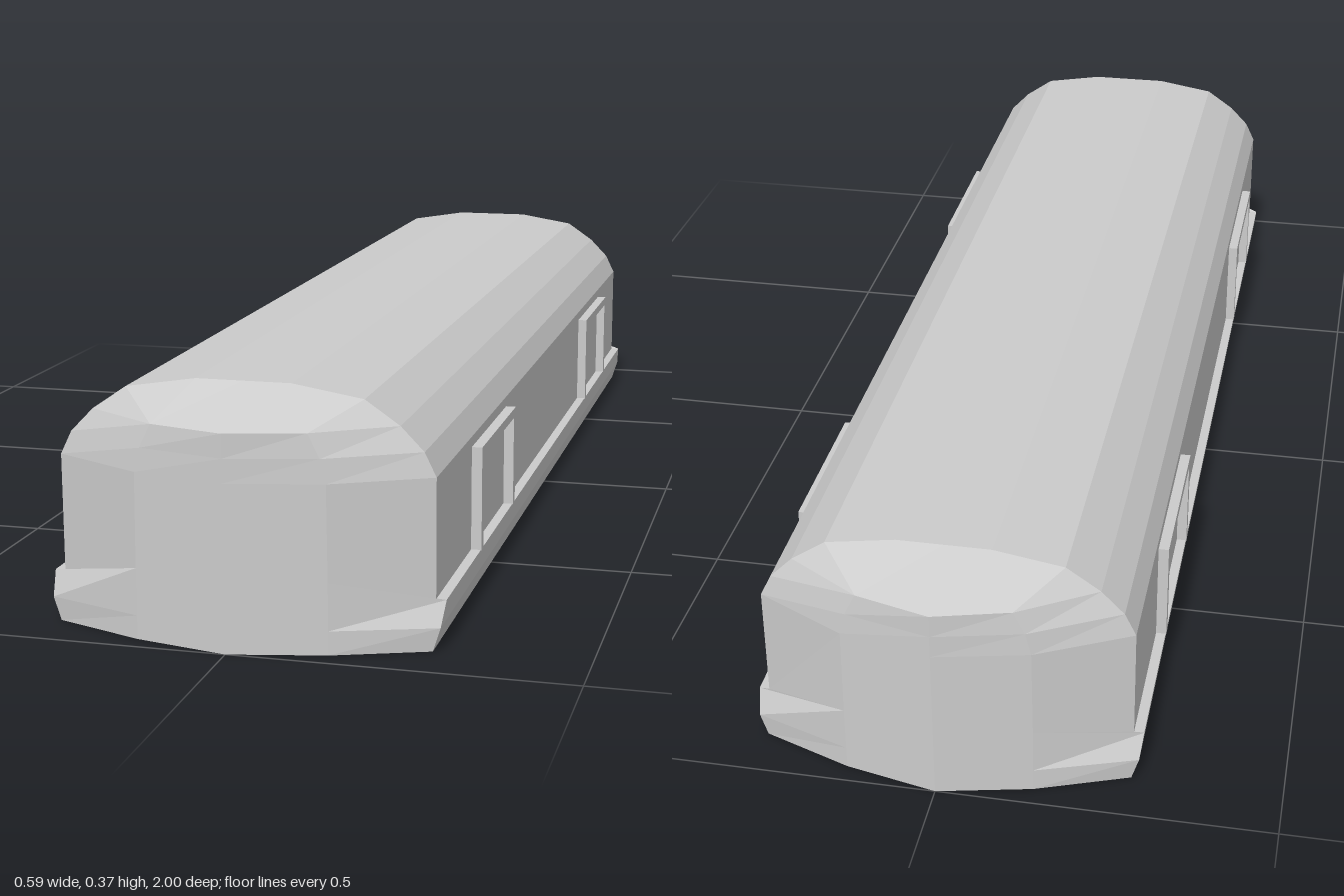
import * as THREE from 'three';

const material = new THREE.MeshStandardMaterial({ color: 0xcccccc, flatShading: true });

// Outline of the hull at one level: a pointed nose at the front, mirrored at the back.
// corner, half and nose are [x, y, z] points on the +x front quarter.
function ring(corner, half, nose) {
  const flip = ([x, y, z]) => [-x, y, z];
  const front = [corner, half, nose, flip(half), flip(corner)];
  return [...front, ...front.map(([x, y, z]) => [-x, y, -z])];
}

// Hull lofted through stacked outlines, closed by a floor and a roof
function hullGeometry() {
  const nose = (y) => [0, y, 1];
  const upper = (w, y) => ring([w, y, 0.9], [w / 2, y, 0.97], nose(y));
  const brow = [0.113, 0.315, 0.97];
  const rings = [
    ring([0.277, 0, 0.92], [0.14, 0, 0.97], nose(0)),
    ring([0.288, 0.035, 0.92], [0.14, 0.035, 0.97], nose(0.035)),
    ring([0.292, 0.07, 0.9], [0.14, 0.105, 0.97], nose(0.105)), // skirt lip
    ring([0.277, 0.07, 0.9], [0.14, 0.105, 0.97], nose(0.105)), // foot of the wall
    upper(0.277, 0.245),
    upper(0.26, 0.28),
    upper(0.226, 0.315),
    ring([0.175, 0.35, 0.9], brow, nose(0.315)), // roof sloping to the nose
    ring([0.07, 0.367, 0.9], [0.07, 0.367, 0.9], [0, 0.367, 0.9]),
  ];
  const positions = [];
  const same = (a, b) => a.every((v, i) => Math.abs(v - b[i]) < 1e-6);
  const tri = (a, b, c) => {
    if (!same(a, b) && !same(b, c) && !same(a, c)) positions.push(...a, ...b, ...c);
  };
  for (let r = 0; r < rings.length - 1; r++) {
    const lo = rings[r], hi = rings[r + 1], n = lo.length;
    for (let i = 0; i < n; i++) {
      const j = (i + 1) % n;
      tri(lo[j], lo[i], hi[i]);
      tri(lo[j], hi[i], hi[j]);
    }
  }
  const floor = rings[0], roof = rings[rings.length - 1];
  for (let i = 1; i < floor.length - 1; i++) {
    tri(floor[0], floor[i], floor[i + 1]);
    tri(roof[0], roof[i + 1], roof[i]);
  }
  const geometry = new THREE.BufferGeometry();
  geometry.setAttribute('position', new THREE.Float32BufferAttribute(positions, 3));
  geometry.computeVertexNormals();
  return geometry;
}

// Raised door surround: two posts and a lintel, standing on the skirt
function doorFrameGeometry() {
  const w = 0.137, h = 0.16, t = 0.015;
  const shape = new THREE.Shape();
  [[-w, 0], [-w + t, 0], [-w + t, h - t], [w - t, h - t], [w - t, 0], [w, 0], [w, h], [-w, h]]
    .forEach(([x, y], i) => (i ? shape.lineTo(x, y) : shape.moveTo(x, y)));
  return new THREE.ExtrudeGeometry(shape, { depth: 0.019, bevelEnabled: false });
}

export function createModel() {
  const model = new THREE.Group();
  model.name = 'railCarBody';

  const hull = new THREE.Mesh(hullGeometry(), material);
  hull.name = 'hull';
  model.add(hull);

  // Two door frames on each side
  const frame = doorFrameGeometry();
  for (const side of [1, -1]) {
    for (const end of [1, -1]) {
      const mesh = new THREE.Mesh(frame, material);
      mesh.name = `${side > 0 ? 'left' : 'right'}${end > 0 ? 'Front' : 'Rear'}DoorFrame`;
      mesh.rotation.y = (side * Math.PI) / 2;
      mesh.position.set(side * 0.274, 0.069, end * 0.524);
      model.add(mesh);
    }
  }
  return model;
}
